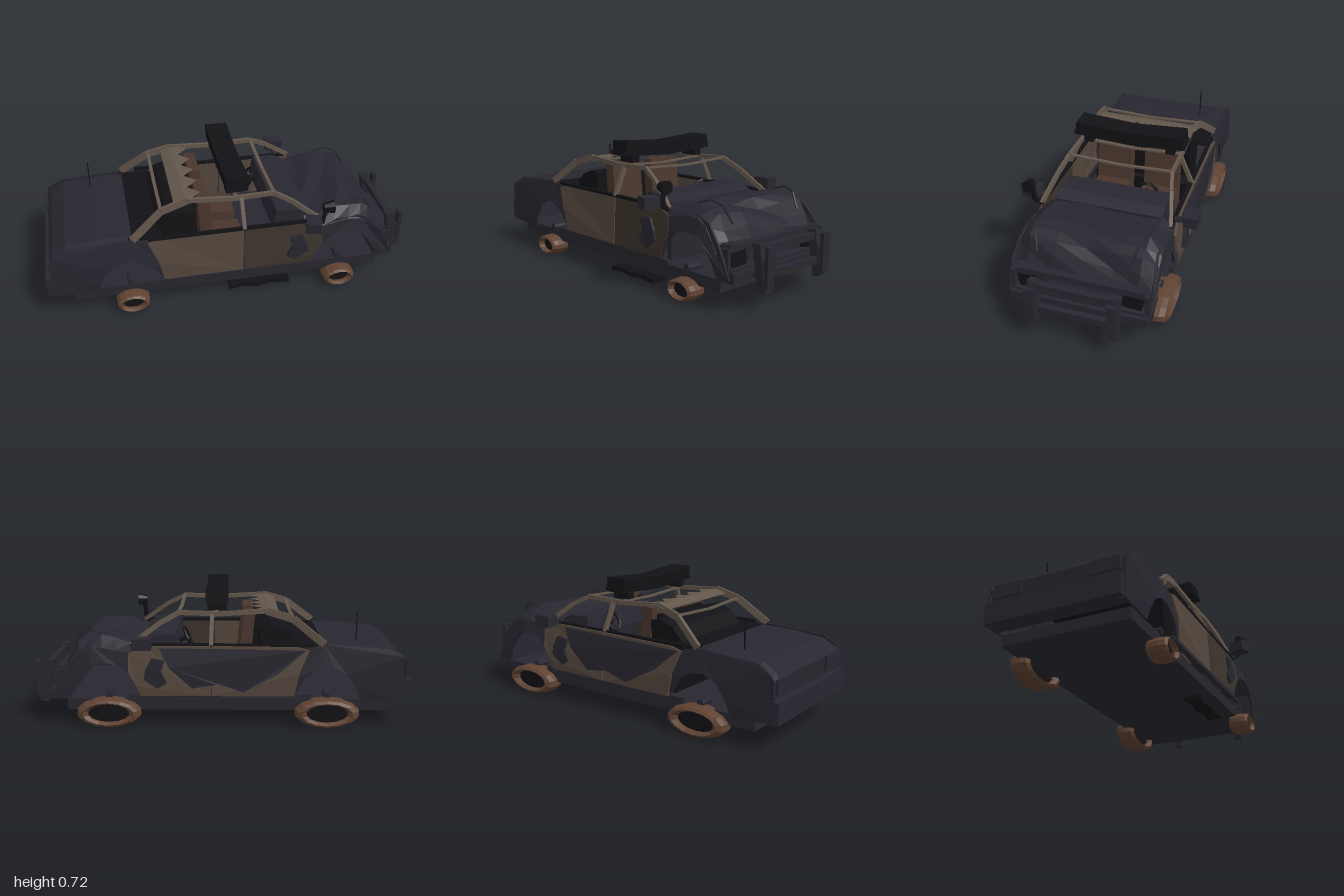
import * as THREE from 'three';

const mat = (color) => new THREE.MeshStandardMaterial({ color, flatShading: true, side: THREE.DoubleSide });
const DARK = mat(0x28262f), BLACK = mat(0x121115), TYRE = mat(0x5f4232);
const RUST = mat(0x54473d), BURNT = mat(0x3d342d), FRAME = mat(0x62564b), SEAT = mat(0x49362d);

export function createModel() {
  const car = new THREE.Group();
  car.name = 'wreckedCar';
  const V = (p) => new THREE.Vector3(...p);

  const add = (name, geo, m = DARK) => {
    const mesh = new THREE.Mesh(geo, m);
    mesh.name = name;
    car.add(mesh);
    return mesh;
  };
  // box from its lower and upper limits
  const box = (name, x0, x1, y0, y1, z0, z1, m) => {
    const b = add(name, new THREE.BoxGeometry(x1 - x0, y1 - y0, z1 - z0), m);
    b.position.set((x0 + x1) / 2, (y0 + y1) / 2, (z0 + z1) / 2);
    return b;
  };
  // bar between two points
  const bar = (name, a, b, w, h, m = FRAME) => {
    const p = V(a), q = V(b);
    const mesh = add(name, new THREE.BoxGeometry(w, h, p.distanceTo(q)), m);
    mesh.position.copy(p).lerp(q, 0.5);
    mesh.lookAt(q);
    return mesh;
  };
  // sheet through rows of points
  const sheet = (name, rows, m) => {
    const n = rows[0].length, idx = [];
    for (let i = 0; i < rows.length - 1; i++) for (let j = 0; j < n - 1; j++) {
      const a = i * n + j, b = a + n;
      idx.push(a, a + 1, b, b, a + 1, b + 1);
    }
    const g = new THREE.BufferGeometry();
    g.setAttribute('position', new THREE.Float32BufferAttribute(rows.flat(2), 3));
    g.setIndex(idx);
    g.computeVertexNormals();
    return add(name, g, m);
  };
  // solid from an xy outline spanning a width in z
  const shapeOf = (pts) => new THREE.Shape(pts.map((p) => new THREE.Vector2(...p)));
  const block = (name, pts, w, m) => add(name,
    new THREE.ExtrudeGeometry(shapeOf(pts), { depth: 2 * w, bevelEnabled: false }).translate(0, 0, -w), m);
  // side panel cut from an xy outline, leaning inward near the top
  const panel = (name, pts, s, z, m, thick = 0.012) => {
    const g = new THREE.ExtrudeGeometry(shapeOf(pts), { depth: thick, bevelEnabled: false });
    const pos = g.attributes.position;
    for (let i = 0; i < pos.count; i++) {
      const y = pos.getY(i);
      const lean = 0.25 * Math.max(0, y - 0.36) + 0.1 * Math.max(0, 0.25 - y);
      pos.setZ(i, s * (z - lean) + pos.getZ(i) - thick / 2);
    }
    g.computeVertexNormals();
    return add(name, g, m);
  };

  // Floor pan
  box('floorPan', -0.87, 0.81, 0.09, 0.15, -0.35, 0.34);

  // Trunk: deck and tail
  sheet('trunk', [
    [-0.54, 0.445, 0.34], [-0.72, 0.44, 0.34], [-0.88, 0.425, 0.34],
    [-0.95, 0.385, 0.35], [-0.97, 0.36, 0.36], [-0.965, 0.27, 0.36], [-0.97, 0.15, 0.36],
  ].map(([x, y, w]) => [-1, -0.88, 0.88, 1].map((k) => [x, y - (Math.abs(k) === 1 ? 0.012 : 0), k * w])), DARK);
  box('rearBumper', -1, -0.9, 0.15, 0.26, -0.365, 0.355);
  for (const s of [-1, 1]) box('tailLamp', -0.98, -0.95, 0.29, 0.36, s * 0.26 - 0.08, s * 0.26 + 0.08);
  bar('antenna', [-0.725, 0.44, -0.215], [-0.725, 0.6, -0.215], 0.006, 0.006, BLACK);

  // Crumpled bonnet folding down over the nose
  const bonnet = [[0.4, 0.435], [0.48, 0.45], [0.56, 0.465], [0.64, 0.48], [0.7, 0.475],
    [0.75, 0.44], [0.79, 0.38], [0.82, 0.325]];
  sheet('bonnet', bonnet.map(([x, y], i) => [-0.365, -0.29, -0.15, 0, 0.15, 0.29, 0.36].map((z, j) => {
    const edge = j === 0 || j === 6;
    const dent = edge ? -0.05 : 0.012 * Math.sin(i * 2.3 + j * 1.9);
    return [x + (edge ? -0.02 : 0.01 * Math.sin(j * 2.1 + i)), y + dent, z];
  })), DARK);
  // Bent strips springing off the bonnet
  for (const s of [-1, 1]) {
    const strip = [[0.6, 0.48, 0.28], [0.68, 0.505, 0.275], [0.74, 0.485, 0.26], [0.79, 0.4, 0.24]];
    for (let i = 0; i < 3; i++) {
      const [a, b] = [strip[i], strip[i + 1]].map(([x, y, z]) => [x, y, s * z]);
      bar('bonnetStrip', a, b, 0.008, 0.008, DARK);
    }
  }

  // Nose, lamps and front bumper
  box('grilleBack', 0.8, 0.83, 0.15, 0.32, -0.34, 0.34);
  box('grilleTop', 0.8, 0.86, 0.29, 0.325, -0.33, 0.33);
  box('grilleBase', 0.82, 0.88, 0.19, 0.215, -0.34, 0.34);
  for (let i = 0; i < 5; i++) box('grilleSlat', 0.83, 0.84, 0.225 + i * 0.013, 0.23 + i * 0.013, -0.18, 0.18, DARK);
  box('frontBumper', 0.81, 0.9, 0.15, 0.2, -0.355, 0.35);
  for (const s of [-1, 1]) {
    const lamp = box('headlampHousing', 0.82, 0.86, 0.215, 0.29, s * 0.27 - 0.05, s * 0.27 + 0.05, BLACK);
    lamp.rotation.x = s * 0.12;
    box('noseCorner', 0.81, 0.87, 0.2, 0.31, s * 0.345 - 0.01, s * 0.345 + 0.01);
  }

  // Push bar
  for (const z of [-0.21, 0.205]) {
    bar('pushBarUpright', [0.925, 0.33, z], [0.965, 0.1, z], 0.05, 0.045, DARK);
    box('pushBarPad', 0.98, 1, 0.12, 0.325, z - 0.025, z + 0.025);
    box('pushBarBridge', 0.94, 0.985, 0.19, 0.25, z - 0.02, z + 0.02);
    box('pushBarBracket', 0.88, 0.945, 0.165, 0.185, z - 0.012, z + 0.012);
  }
  for (const [x, y] of [[0.93, 0.3], [0.95, 0.18]]) box('pushBarRail', x - 0.015, x + 0.015, y - 0.018, y + 0.018, -0.2, 0.2);

  // Body sides
  const quarter = [[-0.97, 0.15], [-0.74, 0.14], [-0.71, 0.22], [-0.66, 0.29], [-0.59, 0.325], [-0.52, 0.32],
    [-0.44, 0.27], [-0.39, 0.18], [-0.385, 0.26], [-0.45, 0.42], [-0.54, 0.445], [-0.88, 0.425], [-0.95, 0.385], [-0.97, 0.36]];
  const fender = [[0.42, 0.15], [0.43, 0.2], [0.47, 0.28], [0.53, 0.33], [0.6, 0.35], [0.68, 0.345], [0.73, 0.3],
    [0.78, 0.22], [0.81, 0.15], [0.88, 0.17], [0.86, 0.24], [0.82, 0.325], [0.75, 0.41], [0.68, 0.44], [0.56, 0.43],
    [0.47, 0.4], [0.42, 0.4]];
  const rearDoor = [[-0.385, 0.175], [0.045, 0.175], [0.045, 0.44], [-0.4, 0.435], [-0.46, 0.42], [-0.41, 0.3]];
  const frontDoor = [[0.052, 0.175], [0.42, 0.175], [0.44, 0.23], [0.48, 0.3], [0.48, 0.4], [0.4, 0.44], [0.052, 0.44]];
  for (const s of [-1, 1]) {
    const out = s < 0 ? 0.385 : 0.37;
    panel('rearQuarter', quarter, s, 0.362);
    panel('frontFender', fender, s, 0.365);
    panel('rearDoor', rearDoor, s, out, RUST);
    panel('frontDoor', frontDoor, s, out, s > 0 ? BURNT : RUST);
    box('sillStrip', -0.47, 0.48, 0.16, 0.18, s * 0.36 - 0.012, s * 0.36 + 0.012);
    box('beltRail', -0.46, 0.47, 0.435, 0.45, s * 0.35 - 0.01, s * 0.35 + 0.01, BLACK);
  }
  // Scorched areas and a torn flap on the doors
  panel('scorchPatch', [[-0.44, 0.42], [-0.3, 0.3], [-0.12, 0.2], [0.02, 0.24], [0.15, 0.22], [0.27, 0.33],
    [0.32, 0.43]], -1, 0.391, DARK);
  for (const s of [-1, 1]) panel('tornFlap', [[0.28, 0.25], [0.33, 0.22], [0.4, 0.27], [0.39, 0.32], [0.36, 0.38],
    [0.29, 0.37], [0.31, 0.31]], s, s > 0 ? 0.383 : 0.4, DARK, 0.015);

  // Cabin frame, heaviest at the rear
  for (const s of [-1, 1]) {
    const rail = [[0.47, 0.44, 0.35], [0.32, 0.55, 0.31], [0.22, 0.602, 0.285], [0, 0.595, 0.285], [-0.24, 0.61, 0.28],
      [-0.38, 0.57, 0.295], [-0.54, 0.445, 0.345]].map(([x, y, z]) => [x, y, s * z]);
    for (let i = 0; i < rail.length - 1; i++) bar('roofRail', rail[i], rail[i + 1], 0.018, i > 3 ? 0.038 : 0.024);
    bar('doorPillar', [0.05, 0.44, s * 0.355], [0.045, 0.595, s * 0.285], 0.02, 0.02);
  }
  for (const [x, y] of [[0.22, 0.605], [0.02, 0.595], [-0.38, 0.575]]) for (const s of [-1, 1])
    bar('roofCrossbar', [x, y - 0.012, 0], [x, y, s * 0.28], 0.018, 0.01);

  // Torn remains of the roof skin, with a ragged front edge
  const tornEdge = [];
  for (let i = 0; i <= 10; i++) tornEdge.push(-0.3 + i * 0.057);
  sheet('tornRoof', [
    tornEdge.map((z) => [-0.31, 0.595, z]),
    tornEdge.map((z) => [-0.25, 0.616, z]),
    tornEdge.map((z, i) => [i % 2 ? -0.16 : -0.22, 0.61, z]),
  ], FRAME);

  // Interior
  box('parcelShelf', -0.56, -0.38, 0.425, 0.44, -0.33, 0.33, BLACK);
  block('rearSeat', [[-0.4, 0.44], [-0.34, 0.505], [-0.26, 0.535], [-0.2, 0.525], [-0.22, 0.3], [-0.16, 0.28],
    [-0.16, 0.16], [-0.36, 0.16]], 0.28, BLACK);
  box('partition', -0.2, -0.18, 0.18, 0.54, -0.2, 0.2, BLACK);
  for (const s of [-1, 1]) {
    block('frontSeat', [[-0.18, 0.58], [-0.12, 0.58], [-0.09, 0.29], [0.08, 0.28], [0.08, 0.17], [-0.15, 0.17]], 0.1, SEAT)
      .position.z = s * 0.14;
  }
  block('dashboard', [[0.42, 0.45], [0.36, 0.48], [0.24, 0.485], [0.22, 0.38], [0.38, 0.34], [0.39, 0.15], [0.42, 0.15]],
    0.29, DARK);
  const wheelRim = add('steeringWheel', new THREE.TorusGeometry(0.055, 0.008, 5, 12).rotateY(Math.PI / 2), BLACK);
  wheelRim.position.set(0.18, 0.44, -0.14);
  wheelRim.rotation.z = -0.4;
  bar('steeringColumn', [0.18, 0.44, -0.14], [0.28, 0.4, -0.14], 0.02, 0.02, BLACK);

  // Light bar bent up at both ends
  for (const s of [-1, 1]) {
    bar('lightBarBase', [0.02, 0.645, 0], [0.02, 0.662, s * 0.31], 0.115, 0.022, BLACK);
    for (let i = 0; i < 4; i++) {
      const lamp = box('lightBarLamp', -0.04, 0.08, 0.654 + i * 0.005, 0.708 + i * 0.005,
        s * (0.0375 + i * 0.075) - 0.036, s * (0.0375 + i * 0.075) + 0.036, BLACK);
      lamp.rotation.x = -s * 0.067;
    }
    box('lightBarFoot', -0.03, 0.07, 0.61, 0.645, s * 0.23 - 0.025, s * 0.23 + 0.025, BLACK);
  }

  // Door mirrors and spotlight
  box('mirrorRight', 0.355, 0.45, 0.44, 0.5, -0.477, -0.405);
  box('mirrorLeft', 0.365, 0.445, 0.44, 0.5, 0.38, 0.47).rotation.y = -0.25;
  for (const s of [-1, 1]) bar('mirrorArm', [0.4, 0.44, s * 0.35], [0.4, 0.46, s * 0.42], 0.03, 0.02, DARK);
  bar('spotlightStem', [0.465, 0.45, 0.39], [0.475, 0.55, 0.395], 0.02, 0.02, BLACK);
  bar('spotlightArm', [0.465, 0.455, 0.39], [0.45, 0.43, 0.34], 0.02, 0.02, BLACK);
  const spot = add('spotlight', new THREE.CylinderGeometry(0.036, 0.022, 0.055, 8), BLACK);
  spot.position.set(0.485, 0.555, 0.403);
  spot.rotation.set(0.25, 0, -Math.PI / 2);

  // Sagging tyres: hollow rings squashed flat
  const tread = [[0.64, -0.7], [0.78, -1], [0.94, -0.8], [1, -0.3], [1, 0.3], [0.94, 0.8], [0.78, 1], [0.64, 0.7], [0.64, -0.7]]
    .map((p) => new THREE.Vector2(...p));
  for (const x of [-0.56, 0.59]) for (const s of [-1, 1]) {
    const [rx, ry, z] = s > 0 ? [0.09, 0.057, 0.353] : [0.172, 0.078, -0.358];
    const wheel = new THREE.Group();
    wheel.name = 'wheel';
    const tyre = new THREE.Mesh(new THREE.LatheGeometry(tread, 14).rotateX(Math.PI / 2), TYRE);
    tyre.name = 'tyre';
    const rim = new THREE.Mesh(new THREE.CylinderGeometry(0.68, 0.68, 0.9, 14).rotateX(Math.PI / 2), BLACK);
    rim.name = 'rim';
    wheel.add(tyre, rim);
    wheel.scale.set(rx, ry, 0.057);
    wheel.position.set(x, ry + 0.004, z);
    car.add(wheel);
    const stub = add('axleStub', new THREE.CylinderGeometry(0.02, 0.02, 0.08, 8).rotateX(Math.PI / 2), DARK);
    stub.position.set(x, 0.165, s * 0.31);
  }

  // Scrap plate lying on the ground, with ragged edges
  const scrap = new THREE.ExtrudeGeometry(shapeOf([[-0.02, 0.235], [0.06, 0.25], [0.14, 0.235], [0.22, 0.255], [0.32, 0.24],
    [0.32, 0.33], [0.22, 0.315], [0.14, 0.335], [0.06, 0.315], [-0.02, 0.33]]), { depth: 0.024, bevelEnabled: false });
  add('groundScrap', scrap.rotateX(Math.PI / 2), BLACK).position.y = 0.038;

  return car;
}
